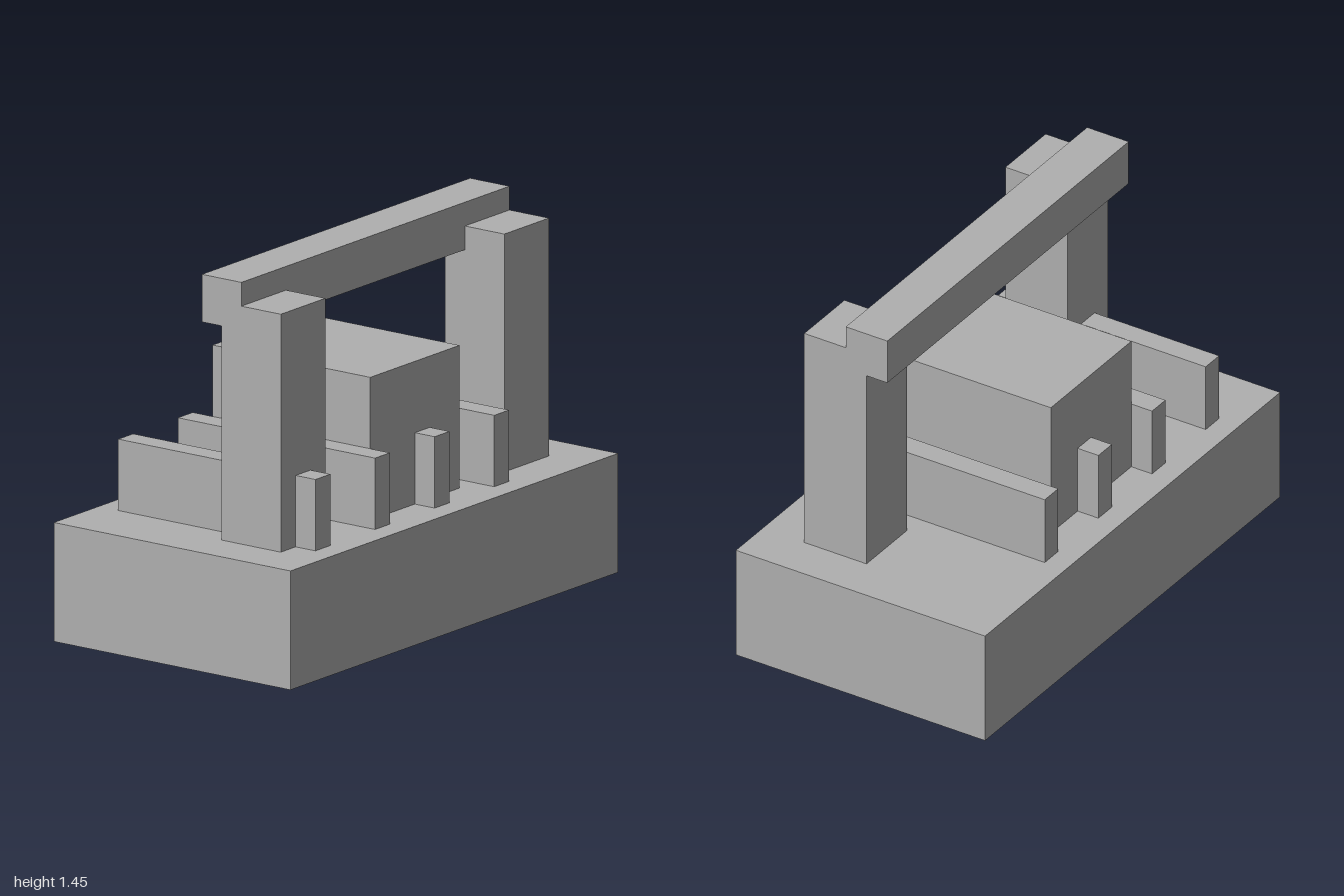
import * as THREE from 'three';

// The whole model sits on a modular grid: 22 units across = 2.
const U = 1 / 11;

export function createModel() {
  const model = new THREE.Group();
  model.name = 'gateOnPlinth';
  const stone = new THREE.MeshStandardMaterial({ color: 0xb0b0b0 });
  stone.name = 'stone grey';

  // Box from its lower and upper corners, in grid units.
  function block(name, [x0, y0, z0], [x1, y1, z1]) {
    const geometry = new THREE.BoxGeometry((x1 - x0) * U, (y1 - y0) * U, (z1 - z0) * U);
    const mesh = new THREE.Mesh(geometry, stone);
    mesh.position.set((x0 + x1) * U / 2, (y0 + y1) * U / 2, (z0 + z1) * U / 2);
    mesh.name = name;
    model.add(mesh);
  }

  block('base', [-11, 0, -6], [11, 5, 6]);
  block('centreBlock', [-3, 5, -4], [3, 11, 4]);

  // Gate: two posts with a beam lapped over their back edge
  block('rightPost', [-9, 5, 1], [-6, 15, 4]);
  block('leftPost', [6, 5, 1], [9, 15, 4]);
  block('beam', [-9, 14, 0], [9, 16, 2]);

  // Low rails running front to back, passing through the post and centre block
  [-8, -4, 0, 4].forEach((x, i) => block(`rail${i + 1}`, [x, 5, -5], [x + 1, 8, 5]));

  return model;
}
